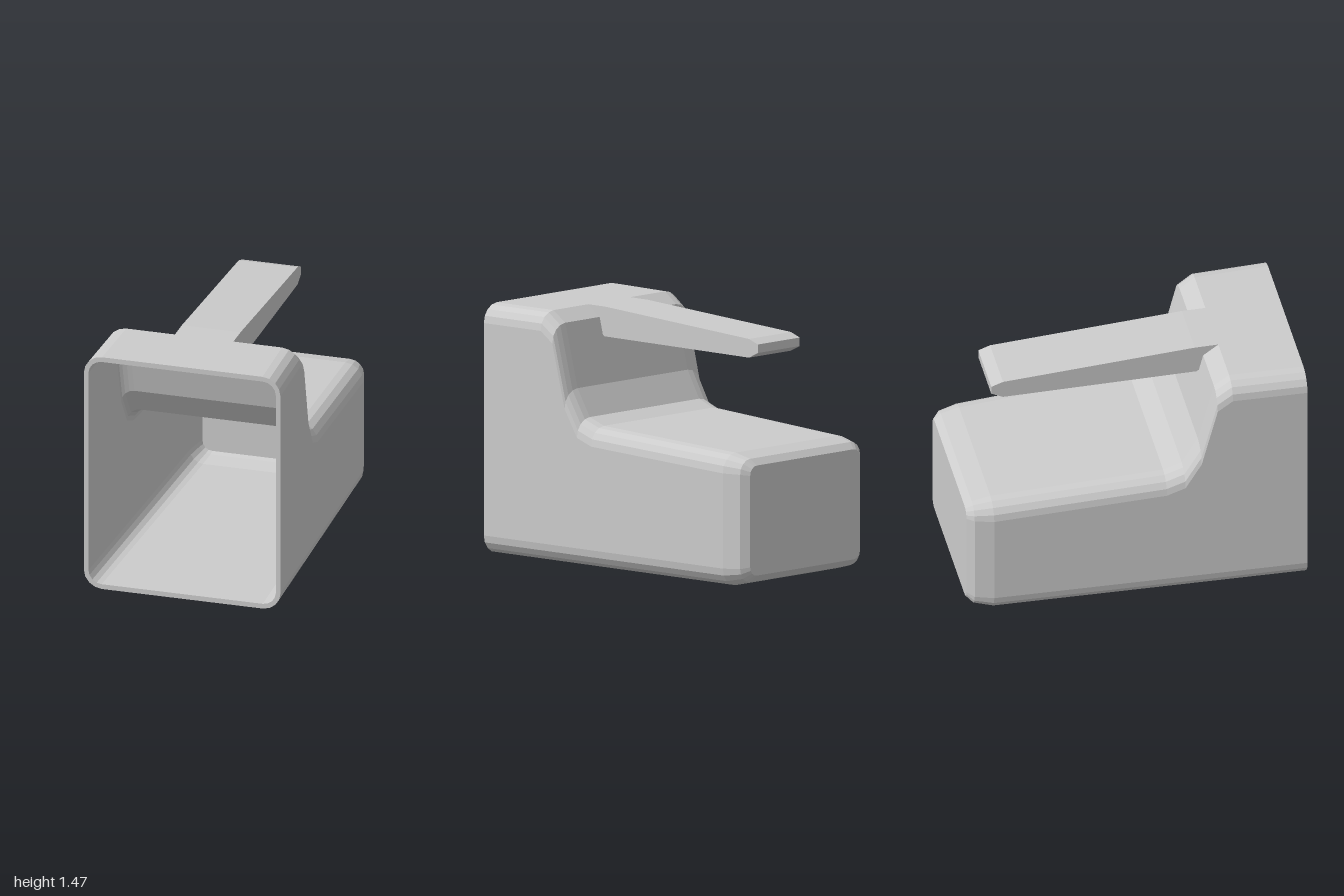
import * as THREE from 'three';

const CORNER_STEPS = 4;

// Rounded-rectangle ring at depth z, counter-clockwise seen from +z.
function ring([z, hw, y0, y1, r]) {
  const pts = [];
  const corners = [[hw - r, y1 - r], [-hw + r, y1 - r], [-hw + r, y0 + r], [hw - r, y0 + r]];
  corners.forEach(([cx, cy], q) => {
    for (let i = 0; i <= CORNER_STEPS; i++) {
      const a = (q + i / CORNER_STEPS) * Math.PI / 2;
      pts.push([cx + r * Math.cos(a), cy + r * Math.sin(a), z]);
    }
  });
  return pts;
}

// Skin a list of sections, optionally closing the first or last one.
function loft(sections, capFirst = false, capLast = false) {
  const rings = sections.map(ring);
  const n = rings[0].length;
  const pos = [];
  const tri = (a, b, c) => pos.push(...a, ...b, ...c);
  for (let s = 0; s < rings.length - 1; s++) {
    const A = rings[s], B = rings[s + 1];
    for (let i = 0; i < n; i++) {
      const j = (i + 1) % n;
      tri(A[i], B[i], A[j]);
      tri(A[j], B[i], B[j]);
    }
  }
  const cap = (k, facingFront) => {
    const R = rings[k], [z, , y0, y1] = sections[k], c = [0, (y0 + y1) / 2, z];
    for (let i = 0; i < n; i++) {
      const j = (i + 1) % n;
      if (facingFront) tri(c, R[i], R[j]);
      else tri(c, R[j], R[i]);
    }
  };
  if (capFirst) cap(0, true);
  if (capLast) cap(rings.length - 1, false);
  const g = new THREE.BufferGeometry();
  g.setAttribute('position', new THREE.Float32BufferAttribute(pos, 3));
  g.computeVertexNormals();
  return g;
}

export function createModel() {
  const group = new THREE.Group();
  const grey = new THREE.MeshStandardMaterial({ color: 0xcccccc, flatShading: true });
  grey.name = 'plain grey';
  const add = (name, geometry) => {
    const m = new THREE.Mesh(geometry, grey);
    m.name = name;
    group.add(m);
  };

  // Half width of the body, tapering gently to the back
  const width = z => 0.597 - (1 - z) * 0.031;

  // Outer sections front to back: z, half width, bottom, top, corner radius
  const outer = [[1, 1.47], [0.56, 1.47], [0.47, 1.405], [0.375, 1.03], [0.28, 0.87], [0.17, 0.83], [-0.85, 0.78]]
    .map(([z, top]) => [z, width(z), 0, top, 0.11]);
  outer.push([-0.96, 0.51, 0.03, 0.755, 0.085], [-1, 0.467, 0.07, 0.718, 0.055]);

  // Inner sections back to front
  const inner = [[-0.97, 0.475, 0.06, 0.728, 0.06], [-0.94, 0.487, 0.05, 0.737, 0.07]];
  for (const [z, top] of [[-0.84, 0.75], [0.18, 0.8], [0.3, 0.848], [0.405, 1.01], [0.5, 1.382], [0.575, 1.44], [1, 1.44]])
    inner.push([z, width(z) - 0.028, 0.03, top, 0.08]);

  add('outerShell', loft(outer, false, true));
  add('innerShell', loft(inner, true, false));
  add('frontRim', loft([inner[inner.length - 1], outer[0]]));

  // Long tapering lever reaching back from the top; side profile as [z, y]
  const profile = [[0.56, 1.47], [0.42, 1.47], [-0.72, 1.405], [-0.79, 1.38], [-0.79, 1.33],
    [-0.72, 1.295], [0.43, 1.295], [0.49, 1.33], [0.58, 1.44]];
  const shape = new THREE.Shape(profile.map(([z, y]) => new THREE.Vector2(-z, y)));
  const lever = new THREE.ExtrudeGeometry(shape, { depth: 0.356, bevelEnabled: false });
  lever.translate(0, 0, -0.178);
  lever.rotateY(Math.PI / 2);
  add('topLever', lever);

  return group;
}
